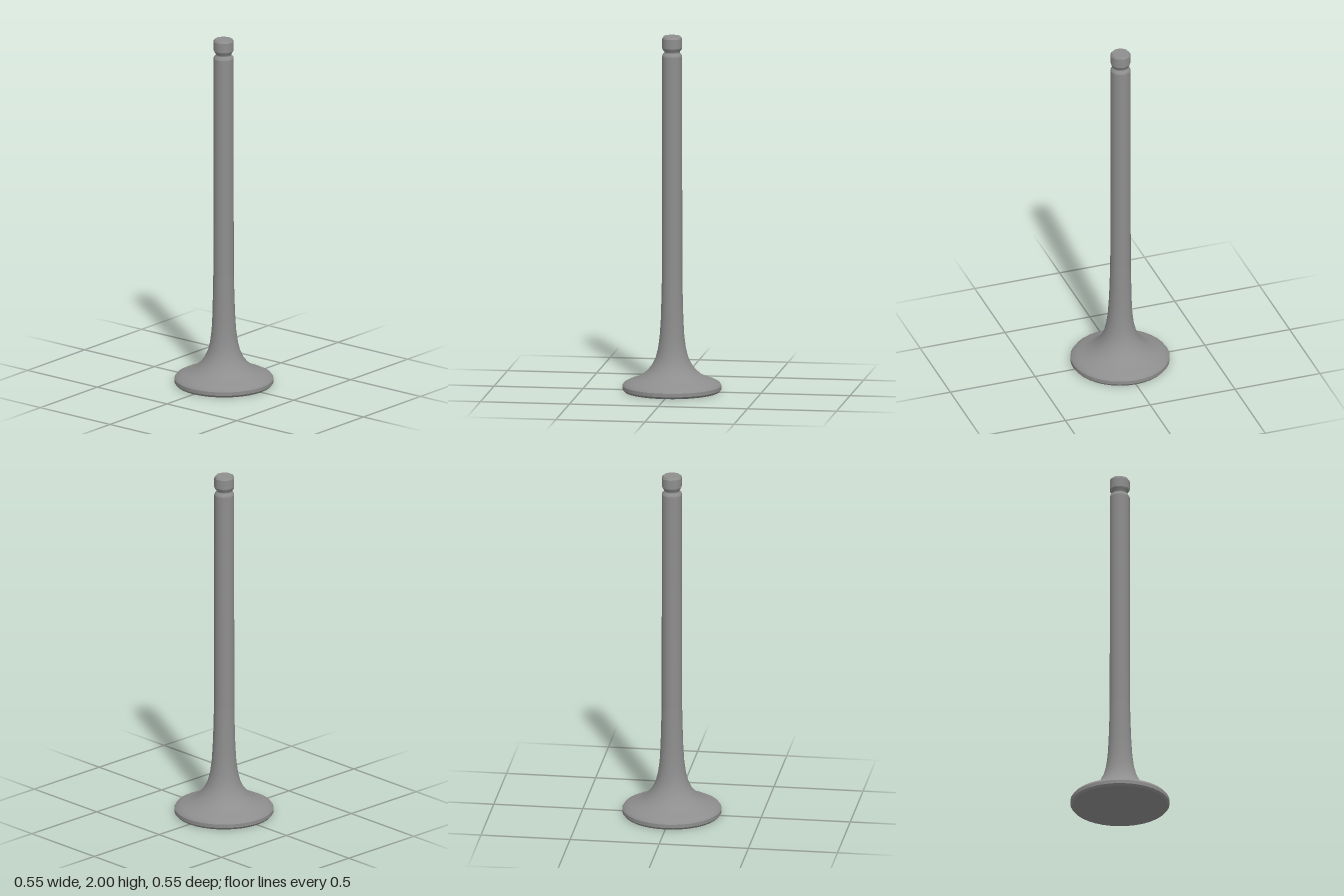
import * as THREE from 'three';

const SIDES = 36;
const FACETS = 9;

export function createModel() {
  const steel = new THREE.MeshStandardMaterial({ color: 0x8e8e8e });
  steel.name = 'steel grey';
  const valve = new THREE.Group();
  valve.name = 'valve';

  // Lathe that is round at the head and blends into a nine-sided stem,
  // keeping the smooth round normals
  function turned(name, profile) {
    const points = profile.map(([r, y]) => new THREE.Vector2(r, y));
    const geometry = new THREE.LatheGeometry(points, SIDES);
    const position = geometry.attributes.position;
    const step = (2 * Math.PI) / FACETS;
    for (let i = 0; i < position.count; i++) {
      const x = position.getX(i), y = position.getY(i), z = position.getZ(i);
      const blend = THREE.MathUtils.smoothstep(y, 0.2, 0.62);
      const angle = Math.atan2(x, z);
      const offset = angle - Math.round(angle / step) * step;
      const facet = Math.cos(step / 2) / Math.cos(offset);
      const scale = 1 + (facet - 1) * blend;
      position.setXYZ(i, x * scale - 0.003 * blend, y, z * scale);
    }
    const mesh = new THREE.Mesh(geometry, steel);
    mesh.name = name;
    valve.add(mesh);
  }

  // Head: flat face, thin bevel, seat rim and flared neck
  turned('headFace', [[0, 0], [0.266, 0]]);
  turned('headBevel', [[0.266, 0], [0.276, 0.012]]);
  turned('headRim', [[0.276, 0.012], [0.276, 0.032]]);
  turned('neck', [
    [0.276, 0.032], [0.266, 0.046], [0.238, 0.06], [0.2, 0.073], [0.165, 0.092],
    [0.135, 0.118], [0.11, 0.15], [0.091, 0.19], [0.078, 0.24], [0.069, 0.31],
    [0.064, 0.4], [0.061, 0.5], [0.058, 0.63],
  ]);

  // Stem with a keeper groove and a chamfered tip
  turned('stem', [[0.058, 0.63], [0.057, 1.2], [0.057, 1.888]]);
  turned('keeperGroove', [
    [0.057, 1.888], [0.053, 1.9], [0.044, 1.907], [0.044, 1.914], [0.054, 1.927], [0.057, 1.935],
  ]);
  turned('tip', [[0.057, 1.935], [0.057, 1.988]]);
  turned('tipChamfer', [[0.057, 1.988], [0.049, 2]]);
  turned('tipFace', [[0.049, 2], [0, 2]]);

  return valve;
}
